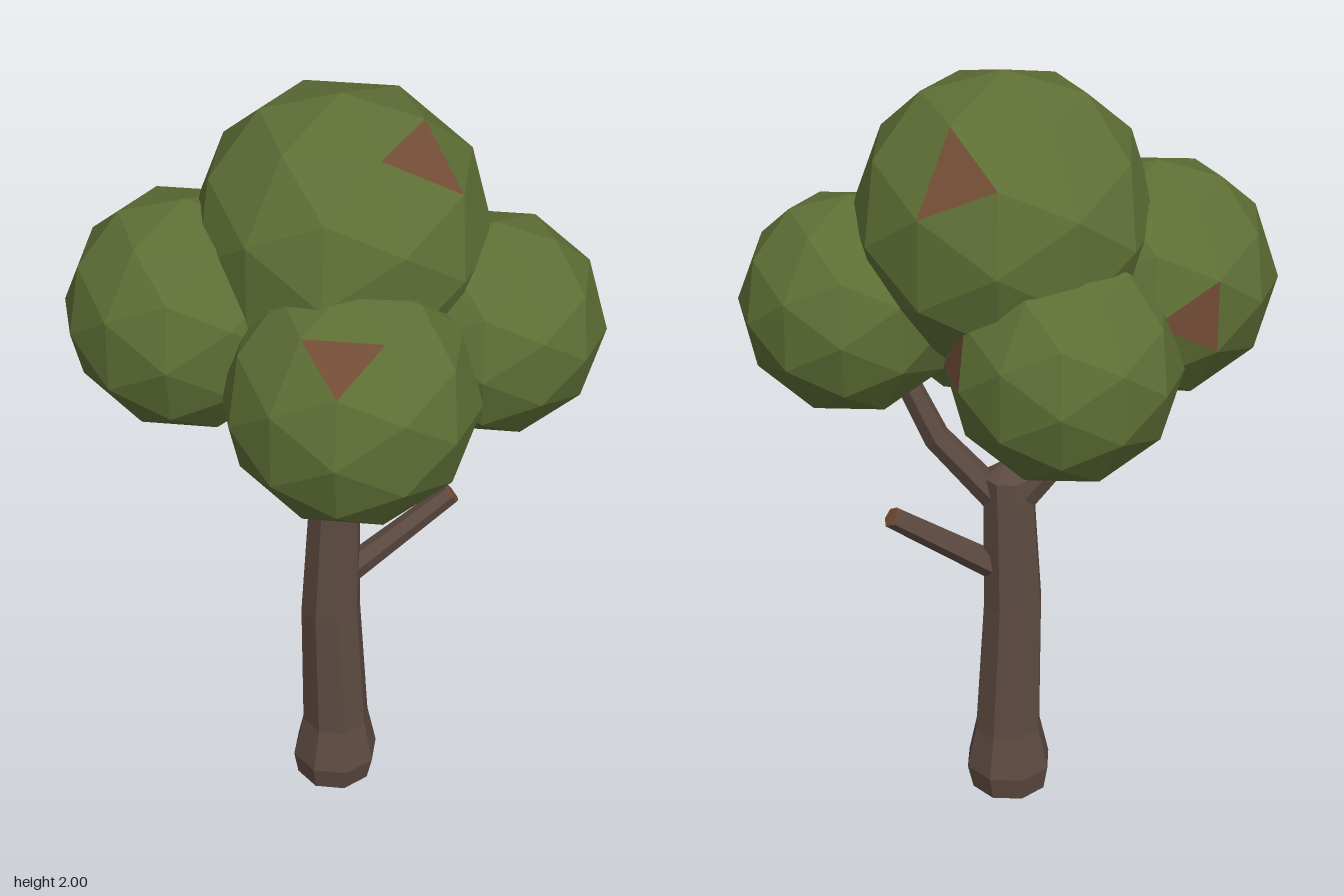
import * as THREE from 'three';

const mat = (name, color) => {
  const m = new THREE.MeshStandardMaterial({ color, flatShading: true });
  m.name = name;
  return m;
};

// Solid lofted through rings [x, y, z, radius]; a zero radius makes a point
function loft(rings, sides, axisOf) {
  const pos = [], idx = [];
  rings.forEach(([x, y, z, r], i) => {
    const { u, v } = axisOf(i);
    for (let k = 0; k < sides; k++) {
      const a = (k + 0.5) / sides * Math.PI * 2;
      const c = Math.cos(a) * r, s = Math.sin(a) * r;
      pos.push(x + u.x * c + v.x * s, y + u.y * c + v.y * s, z + u.z * c + v.z * s);
      if (i > 0) {
        const n = (k + 1) % sides, p = (i - 1) * sides, q = i * sides;
        idx.push(p + k, q + k, p + n, p + n, q + k, q + n);
      }
    }
  });
  const g = new THREE.BufferGeometry();
  g.setAttribute('position', new THREE.Float32BufferAttribute(pos, 3));
  g.setIndex(idx);
  const flat = g.toNonIndexed();
  flat.computeVertexNormals();
  return flat;
}

// Limb whose rings stand square to its path
function limb(points, sides) {
  const P = points.map(p => new THREE.Vector3(p[0], p[1], p[2]));
  return loft(points, sides, i => {
    const t = P[Math.min(i + 1, P.length - 1)].clone().sub(P[Math.max(i - 1, 0)]).normalize();
    const v = new THREE.Vector3(0, 0, 1).addScaledVector(t, -t.z).normalize();
    return { u: t.clone().cross(v).negate(), v: v.clone() };
  });
}

export function createModel() {
  const bark = mat('bark', 0x5c4a41);
  const leaf = mat('leaf green', 0x5e6f35);
  const rust = mat('rust brown', 0x724c35);
  bark.side = THREE.DoubleSide;

  const tree = new THREE.Group();
  tree.name = 'tree';
  const add = (name, geo, material) => {
    const m = new THREE.Mesh(geo, material);
    m.name = name;
    tree.add(m);
    return m;
  };

  // Trunk with flared root and blunt pointed top
  const flat = { u: new THREE.Vector3(1, 0, 0), v: new THREE.Vector3(0, 0, 1) };
  add('trunk', loft([
    [0, 0, 0, 0], [0, 0, -0.005, 0.1], [0.002, 0.065, -0.005, 0.113], [0.003, 0.18, -0.007, 0.088],
    [-0.009, 0.55, -0.002, 0.078], [0, 0.85, -0.004, 0.068], [0.004, 0.915, -0.004, 0.064],
    [0.008, 0.96, -0.005, 0],
  ], 8, () => flat), bark);

  // Two bent boughs reaching into the crown
  add('leftBough', limb([
    [0.02, 0.84, -0.01, 0.04], [0.18, 1.02, -0.01, 0.035], [0.27, 1.22, -0.015, 0.03], [0.31, 1.32, -0.02, 0.027],
  ], 6), bark);
  add('rightBough', limb([
    [-0.02, 0.84, -0.01, 0.04], [-0.17, 1.03, -0.01, 0.035], [-0.235, 1.22, 0, 0.03], [-0.27, 1.32, 0.01, 0.027],
  ], 6), bark);

  // Cut stub with a bare wood end
  const a = new THREE.Vector3(0.02, 0.645, -0.01), b = new THREE.Vector3(0.285, 0.85, -0.12);
  add('stub', limb([[...a, 0.036], [...b, 0.027]], 6), bark);
  const dir = b.clone().sub(a).normalize();
  const end = add('stubEnd', new THREE.CylinderGeometry(0.027, 0.027, 0.006, 6), rust);
  end.position.copy(b);
  end.quaternion.setFromUnitVectors(new THREE.Vector3(0, 1, 0), dir);

  // Leaf clumps: centre, radius, and directions of their rust coloured facets
  const clumps = [
    ['topClump', [0.01, 1.635, -0.06], 0.367, [[0.27, 0.55, -0.72], [0.55, 0.72, 0.27]]],
    ['frontClump', [0.07, 1.365, 0.235], 0.31, [[0, 0.71, 0.62], [0.87, -0.33, 0]]],
    ['rightClump', [-0.35, 1.453, 0.035], 0.297, [[-0.33, 0, -0.87]]],
    ['leftClump', [0.375, 1.412, -0.06], 0.275, [[0.28, -0.89, 0.17]]],
    ['backClump', [-0.14, 1.345, -0.263], 0.282, [[0.89, 0.17, -0.28]]],
  ];
  for (const [name, centre, radius, spots] of clumps) {
    const geo = new THREE.IcosahedronGeometry(radius, 1);
    const p = geo.attributes.position, mids = [];
    for (let i = 0; i < p.count; i += 3) {
      const m = new THREE.Vector3();
      for (let j = 0; j < 3; j++) m.add(new THREE.Vector3().fromBufferAttribute(p, i + j));
      mids.push(m.normalize());
    }
    const painted = new Set(spots.map(s => {
      const d = new THREE.Vector3(...s);
      return mids.reduce((best, m, i) => (m.dot(d) > mids[best].dot(d) ? i : best), 0);
    }));
    mids.forEach((_, i) => geo.addGroup(i * 3, 3, painted.has(i) ? 1 : 0));
    add(name, geo, [leaf, rust]).position.set(...centre);
  }
  return tree;
}
